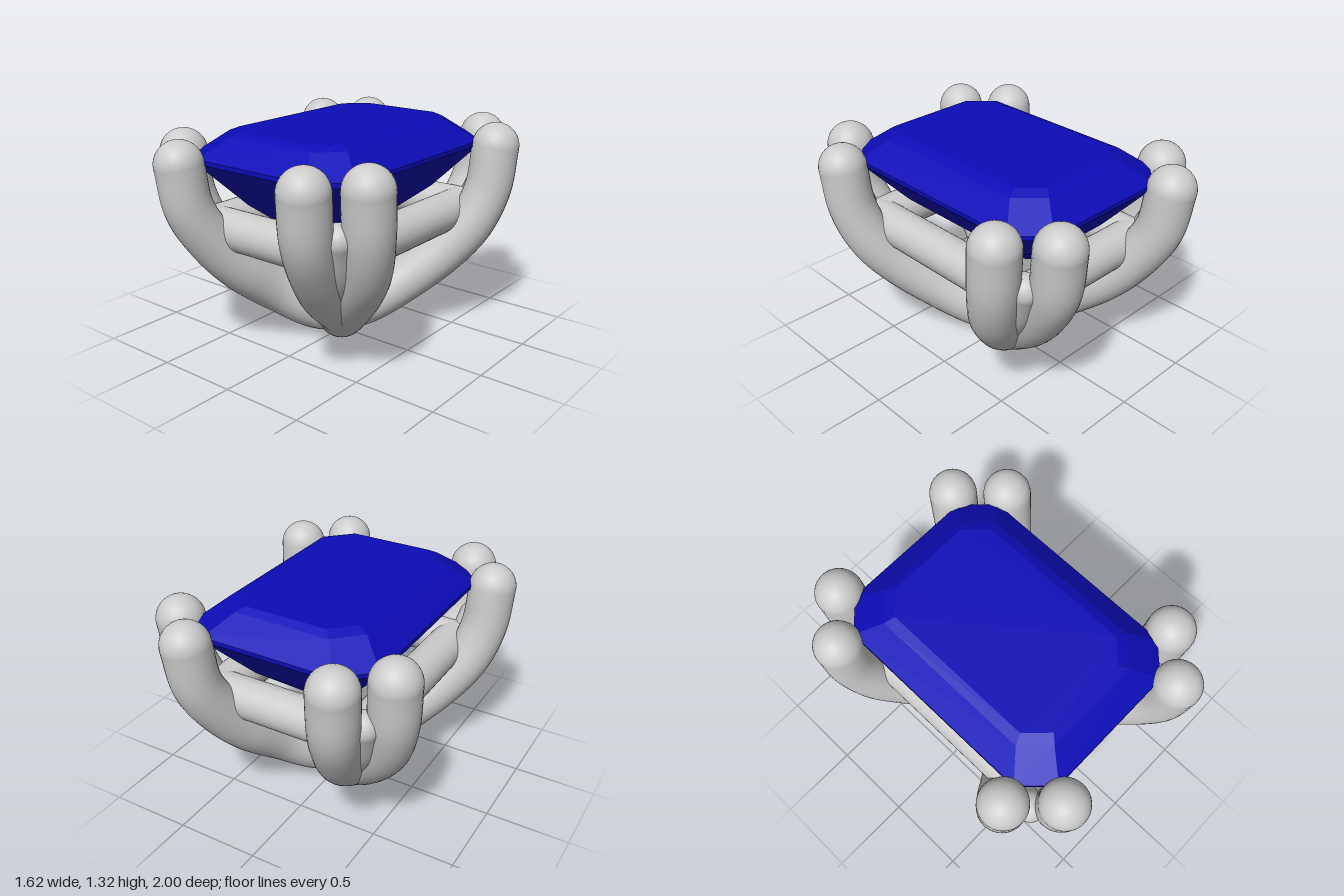
import * as THREE from 'three';

const PRONG_R = 0.14, RAIL_R = 0.12;
const metal = new THREE.MeshStandardMaterial({ color: 0xcccccc });
const blue = new THREE.MeshStandardMaterial({ color: 0x0c0cb8, flatShading: true });

// Centre lines of one corner pair, from the shared base to the tips
const endProng = [[0, 0.14, 0], [0.1, 0.17, 0.13], [0.24, 0.31, 0.32], [0.32, 0.5, 0.55], [0.38, 0.68, 0.7], [0.43, 0.9, 0.82], [0.45, 1.16, 0.86]];
const sideProng = [[0, 0.14, 0], [0.1, 0.17, 0.13], [0.27, 0.31, 0.3], [0.455, 0.5, 0.44], [0.58, 0.68, 0.53], [0.65, 0.9, 0.6], [0.67, 1.16, 0.63]];
// Filler between the two, ending below the tips
const web = endProng.slice(0, 6).map((p, i) => p.map((v, k) => (v + sideProng[i][k]) / 2));

// Tube through points with round ends
function roundedTube(name, points, radius, segments) {
  const group = new THREE.Group();
  group.name = name;
  const path = points.map((p) => new THREE.Vector3(...p));
  const curve = new THREE.CatmullRomCurve3(path);
  group.add(new THREE.Mesh(new THREE.TubeGeometry(curve, segments, radius, 32), metal));
  for (const end of [path[0], path[path.length - 1]]) {
    const cap = new THREE.Mesh(new THREE.SphereGeometry(radius, 32, 20), metal);
    cap.position.copy(end);
    group.add(cap);
  }
  group.children.forEach((mesh, i) => { mesh.name = name + (i ? 'End' : 'Shaft'); });
  return group;
}

// Rectangle with cut corners, as eight points at height y
function cutCornerLoop([y, hx, hz, c]) {
  return [
    [hx, hz - c], [hx - c, hz], [c - hx, hz], [-hx, hz - c],
    [-hx, c - hz], [c - hx, -hz], [hx - c, -hz], [hx, c - hz],
  ].map(([x, z]) => [x, y, z]);
}

// Step-cut stone lofted through its levels
function createGem() {
  const levels = [ // y, half width, half length, corner cut
    [0.62, 0.01, 0.2, 0.006],
    [0.64, 0.035, 0.25, 0.02],
    [0.9, 0.35, 0.56, 0.12],
    [1.155, 0.57, 0.775, 0.165],
    [1.18, 0.57, 0.775, 0.165],
    [1.295, 0.43, 0.63, 0.14],
    [1.32, 0.37, 0.585, 0.12],
  ];
  const positions = levels.flatMap(cutCornerLoop).flat();
  const index = [];
  const top = (levels.length - 1) * 8;
  for (let i = 0; i < levels.length - 1; i++) {
    for (let k = 0; k < 8; k++) {
      const a = i * 8 + k, b = i * 8 + (k + 1) % 8;
      index.push(a, a + 8, b, b, a + 8, b + 8);
    }
  }
  for (let k = 1; k < 7; k++) {
    index.push(0, k, k + 1);
    index.push(top, top + k + 1, top + k);
  }
  const geometry = new THREE.BufferGeometry();
  geometry.setAttribute('position', new THREE.Float32BufferAttribute(positions, 3));
  geometry.setIndex(index);
  geometry.computeVertexNormals();
  const gem = new THREE.Mesh(geometry, blue);
  gem.name = 'gem';
  return gem;
}

export function createModel() {
  const model = new THREE.Group();
  model.name = 'gemSetting';

  // Four corners, each with a pair of claws
  for (const sx of [1, -1]) {
    for (const sz of [1, -1]) {
      const corner = (sz > 0 ? 'front' : 'back') + (sx > 0 ? 'Left' : 'Right');
      const place = (points) => points.map(([x, y, z]) => [sx * x, y, sz * z]);
      model.add(
        roundedTube(corner + 'EndProng', place(endProng), PRONG_R, 48),
        roundedTube(corner + 'SideProng', place(sideProng), PRONG_R, 48),
        roundedTube(corner + 'Web', place(web), 0.09, 40),
      );
    }
  }

  // Rails under the stone, joining the corners
  const rx = 0.45, rz = 0.61, ry = 0.75;
  for (const s of [1, -1]) {
    model.add(
      roundedTube(s > 0 ? 'frontRail' : 'backRail', [[-rx, ry, s * rz], [rx, ry, s * rz]], RAIL_R, 4),
      roundedTube(s > 0 ? 'leftRail' : 'rightRail', [[s * rx, ry, -rz], [s * rx, ry, rz]], RAIL_R, 4),
    );
  }

  model.add(createGem());
  return model;
}
